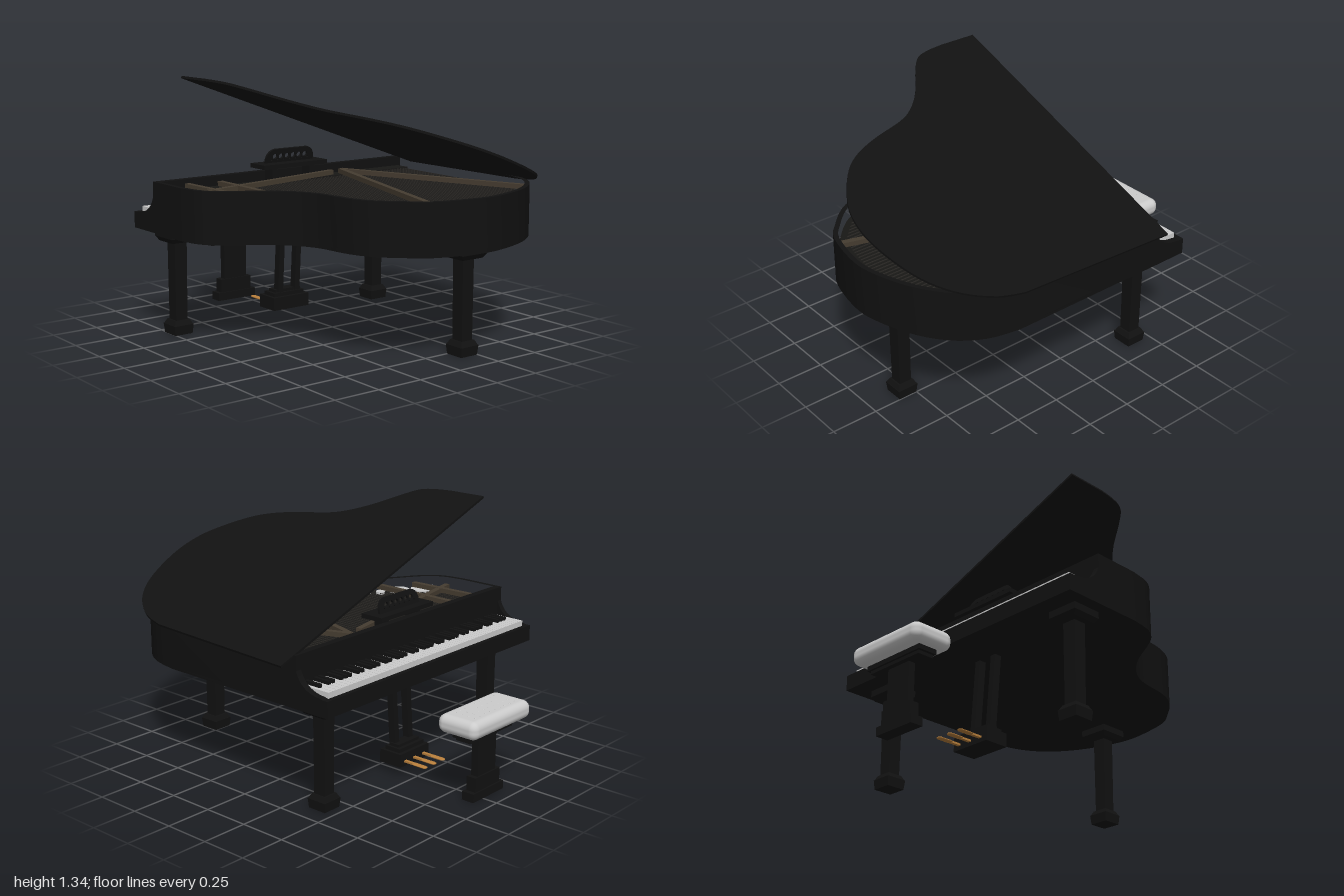
import * as THREE from 'three';
import { toCreasedNormals } from 'three/addons/utils/BufferGeometryUtils.js';
import { RoundedBoxGeometry } from 'three/addons/geometries/RoundedBoxGeometry.js';

const mat = (color) => new THREE.MeshStandardMaterial({ color });
const V = (a) => a.map(([x, y]) => new THREE.Vector2(x, y));

export function createModel() {
  const piano = new THREE.Group();
  piano.name = 'grandPianoWithBench';
  const black = mat(0x111111), plateBlack = mat(0x181715), grey = mat(0xcccccc);
  const gold = mat(0xb87f3c), bronze = mat(0x453c30), steel = mat(0x2a2825);

  const add = (name, geo, material, parent = piano) => {
    const m = new THREE.Mesh(geo, material);
    m.name = name;
    parent.add(m);
    return m;
  };
  // Box given by its min and max on each axis
  const box = (name, x0, x1, y0, y1, z0, z1, material = black, parent = piano) => {
    const m = add(name, new THREE.BoxGeometry(x1 - x0, y1 - y0, z1 - z0), material, parent);
    m.position.set((x0 + x1) / 2, (y0 + y1) / 2, (z0 + z1) / 2);
    return m;
  };
  // Flat bar between two points of the plan (x, z)
  const bar = (name, [xa, za], [xb, zb], y, w, h, material, parent) => {
    const m = add(name, new THREE.BoxGeometry(Math.hypot(xb - xa, zb - za), h, w), material, parent);
    m.position.set((xa + xb) / 2, y, (za + zb) / 2);
    m.rotation.y = -Math.atan2(zb - za, xb - xa);
    return m;
  };
  // Horizontal slab from a plan outline, optionally hollow
  const slab = (pts, h, hole) => {
    const flip = (a) => a.map((p) => new THREE.Vector2(p.x, -p.y));
    const shape = new THREE.Shape(flip(pts));
    if (hole) shape.holes.push(new THREE.Path(flip(hole)));
    const g = new THREE.ExtrudeGeometry(shape, { depth: h, bevelEnabled: false });
    return toCreasedNormals(g.rotateX(-Math.PI / 2), 0.5);
  };
  // Moves a closed outline inwards by d
  const inset = (pts, d) => pts.map((p, i) => {
    const a = pts[(i + pts.length - 1) % pts.length], b = pts[(i + 1) % pts.length];
    const u = p.clone().sub(a).normalize(), v = b.clone().sub(p).normalize();
    const n = new THREE.Vector2(-u.y - v.y, u.x + v.x).normalize();
    return p.clone().addScaledVector(n, d / Math.max(0.5, n.dot(new THREE.Vector2(-u.y, u.x))));
  });

  // Case: curved rim, closed bottom
  const curve = new THREE.SplineCurve(V([[0.5, -0.765], [0.66, -0.73], [0.8, -0.64], [0.91, -0.49],
    [0.98, -0.3], [1, -0.13], [0.95, 0.11], [0.87, 0.22], [0.78, 0.31], [0.7, 0.36], [0.6, 0.39],
    [0.45, 0.41], [0.35, 0.45], [0.27, 0.51], [0.2, 0.59], [0.13, 0.7], [0.08, 0.77], [0.03, 0.81],
    [-0.03, 0.835], [-0.13, 0.85]]));
  const outline = [...V([[-0.37, -0.77]]), ...curve.getPoints(70), ...V([[-0.37, 0.85]])];
  const inner = inset(outline, 0.025);
  add('rim', slab(outline, 0.25, inner), black).position.y = 0.565;
  add('caseBottom', slab(outline, 0.02), black).position.y = 0.55;
  add('plate', slab(inner, 0.03), plateBlack).position.y = 0.72;

  // Strings stop at the rim
  const reach = (z) => {
    let best = -0.2;
    for (let i = 1; i < inner.length; i++) {
      const a = inner[i - 1], b = inner[i];
      if ((a.y - z) * (b.y - z) < 0) best = Math.max(best, a.x + (b.x - a.x) * (z - a.y) / (b.y - a.y));
    }
    return best;
  };
  const strings = new THREE.Group();
  strings.name = 'strings';
  piano.add(strings);
  for (let i = 0; i < 60; i++) {
    const z = -0.7 + i * 0.0245;
    box('string', -0.26, reach(z) - 0.05, 0.758, 0.762, z - 0.002, z + 0.002, steel, strings);
  }
  box('pinBlock', -0.34, -0.25, 0.745, 0.765, -0.73, 0.81, plateBlack);

  // Struts of the iron frame
  [[[-0.29, -0.28], [0.93, 0.09]], [[-0.29, -0.28], [0.72, -0.68]], [[-0.27, -0.2], [-0.08, 0.76]],
    [[-0.3, 0.5], [0.22, 0.5]], [[-0.33, 0.68], [0.08, 0.66]]].forEach(([a, b], i) =>
    bar('frameStrut', a, b, 0.78 + i * 0.001, 0.03, 0.025, bronze));

  // Round openings along the bent side
  [[0.03, 0.67, 0.06], [0.11, 0.575, 0.055], [0.26, 0.42, 0.06], [0.37, 0.36, 0.06], [0.5, 0.33, 0.06],
    [-0.06, 0.675, 0.025], [-0.01, 0.725, 0.022], [0.035, 0.745, 0.022], [0.16, 0.47, 0.025],
    [0.195, 0.53, 0.022], [0.535, 0.26, 0.025], [0.585, 0.3, 0.022], [0.585, 0.35, 0.022]].forEach(([x, z, r]) =>
    add('soundHole', new THREE.CylinderGeometry(r, r, 0.02, 28), grey).position.set(x, 0.757, z));

  // Open lid, hinged along the straight side
  const tilt = THREE.MathUtils.degToRad(20);
  const lidCurve = new THREE.SplineCurve(V([[0.52, -0.82], [0.66, -0.78], [0.8, -0.69], [0.9, -0.57],
    [0.96, -0.43], [0.995, -0.27], [0.99, -0.14], [0.95, -0.03], [0.85, 0.11], [0.75, 0.19], [0.6, 0.25],
    [0.4, 0.3], [0.3, 0.35], [0.2, 0.44], [0.1, 0.57], [0.03, 0.645], [-0.05, 0.67], [-0.15, 0.68]]));
  const lidPts = [...V([[-0.37, -0.855]]), ...lidCurve.getPoints(70), ...V([[-0.37, 0.68]])];
  lidPts.forEach((p) => { p.y = (p.y + 0.855) / Math.cos(tilt); });
  const lid = add('lid', slab(lidPts, 0.012), black);
  lid.position.set(0, 0.772, -0.853);
  lid.rotation.x = -tilt;

  // Key bed, fallboard and scooped cheeks
  box('keyBed', -0.58, -0.37, 0.55, 0.625, -0.77, 0.85);
  box('keySlip', -0.58, -0.555, 0.62, 0.635, -0.77, 0.85);
  box('fallboard', -0.383, -0.365, 0.62, 0.815, -0.77, 0.85);
  const cheek = new THREE.Shape();
  cheek.moveTo(-0.58, 0.6).lineTo(-0.365, 0.6).lineTo(-0.365, 0.815).lineTo(-0.378, 0.815)
    .lineTo(-0.38, 0.75).bezierCurveTo(-0.4, 0.68, -0.45, 0.645, -0.53, 0.64).lineTo(-0.58, 0.63);
  for (const z of [-0.77, 0.82]) {
    const g = new THREE.ExtrudeGeometry(cheek, { depth: z < 0 ? 0.035 : 0.03, bevelEnabled: false, curveSegments: 16 });
    add('cheek', toCreasedNormals(g, 0.5), black).position.z = z;
  }

  // 52 white and 36 black keys, lowest note at -z
  const keys = new THREE.Group();
  keys.name = 'keyboard';
  piano.add(keys);
  const step = 1.55 / 52;
  for (let i = 0; i < 52; i++) {
    const z = -0.732 + i * step;
    box('whiteKey', -0.552, -0.38, 0.63, 0.663, z + 0.001, z + step - 0.001, grey, keys);
    // note letters run A B C D E F G
    if (i < 51 && ![1, 4].includes(i % 7))
      box('blackKey', -0.478, -0.38, 0.655, 0.68, z + step - 0.009, z + step + 0.009, black, keys);
  }

  // Music desk: shelf on two posts and a pierced, leaning panel
  const desk = new THREE.Group();
  desk.name = 'musicDesk';
  piano.add(desk);
  box('deskShelf', -0.38, -0.25, 0.835, 0.858, -0.155, 0.255, black, desk);
  for (const z of [-0.075, 0.17]) box('deskPost', -0.35, -0.28, 0.75, 0.84, z - 0.015, z + 0.015, black, desk);
  const panel = new THREE.Shape();
  panel.moveTo(-0.155, 0).lineTo(0.155, 0).lineTo(0.155, 0.025).quadraticCurveTo(0.145, 0.075, 0.1, 0.078)
    .lineTo(-0.1, 0.078).quadraticCurveTo(-0.145, 0.075, -0.155, 0.025);
  const pierce = (x, y, r) => panel.holes.push(new THREE.Path().absarc(x, y, r, 0, Math.PI * 2, true));
  for (let i = 0; i < 6; i++) pierce((i - 2.5) * 0.039, 0.037, 0.015);
  for (let i = 0; i < 7; i++) pierce((i - 3) * 0.039, 0.019, 0.005);
  const deskPanel = add('deskPanel', new THREE.ExtrudeGeometry(panel, { depth: 0.012, bevelEnabled: false }), black, desk);
  deskPanel.rotation.set(0, -Math.PI / 2, 0.25, 'ZYX');
  deskPanel.rotation.z = -0.25;
  deskPanel.position.set(-0.32, 0.855, 0.047);

  // Square tapered block: bottom and top half widths
  const block = (name, x, z, y0, y1, r0, r1, parent) => {
    const g = new THREE.CylinderGeometry(r1 * Math.SQRT2, r0 * Math.SQRT2, y1 - y0, 4, 1).rotateY(Math.PI / 4);
    add(name, toCreasedNormals(g, 0.5), black, parent).position.set(x, (y0 + y1) / 2, z);
  };
  // Legs
  for (const [x, z] of [[-0.4, 0.705], [-0.4, -0.6], [0.8, -0.195]]) {
    const leg = new THREE.Group();
    leg.name = 'leg';
    piano.add(leg);
    block('legCap', x, z, 0.515, 0.555, 0.082, 0.082, leg);
    block('legCapTaper', x, z, 0.49, 0.515, 0.066, 0.082, leg);
    block('legColumn', x, z, 0.06, 0.5, 0.034, 0.036, leg);
    block('legFoot', x, z, 0, 0.05, 0.052, 0.057, leg);
    block('legFootTop', x, z, 0.05, 0.075, 0.055, 0.042, leg);
  }

  // Pedal lyre
  const lyre = new THREE.Group();
  lyre.name = 'pedalLyre';
  piano.add(lyre);
  for (const z of [-0.01, 0.1]) {
    const rod = box('lyreRod', -0.358, -0.318, 0.12, 0.56, z - 0.016, z + 0.016, black, lyre);
    rod.rotation.z = -0.07;
  }
  box('pedalBox', -0.44, -0.305, 0.05, 0.12, -0.068, 0.162, black, lyre);
  box('pedalBoxTop', -0.42, -0.325, 0.12, 0.14, -0.05, 0.145, black, lyre);
  box('pedalBoxCrown', -0.4, -0.34, 0.14, 0.155, -0.035, 0.13, black, lyre);
  for (const z of [-0.028, 0.045, 0.118]) {
    box('pedalArm', -0.52, -0.43, 0.071, 0.081, z - 0.009, z + 0.009, gold, lyre);
    const tip = add('pedalTip', new THREE.CapsuleGeometry(0.016, 0.06, 6, 14).rotateZ(Math.PI / 2), gold, lyre);
    tip.scale.y = 0.4;
    tip.position.set(-0.536, 0.076, z);
  }

  // Bench with padded seat
  const bench = new THREE.Group();
  bench.name = 'bench';
  piano.add(bench);
  add('benchCushion', new RoundedBoxGeometry(0.235, 0.095, 0.475, 5, 0.04), grey, bench).position.set(-0.8825, 0.417, 0.04);
  for (let i = 0; i < 4; i++) for (let j = 0; j < 9; j++) {
    const button = add('cushionButton', new THREE.SphereGeometry(0.005, 8, 6), grey, bench);
    button.scale.y = 0.3;
    button.position.set(-0.9425 + i * 0.04, 0.4645, -0.12 + j * 0.04);
  }
  box('benchFrame', -0.935, -0.828, 0.345, 0.375, -0.145, 0.23, black, bench);
  box('benchFrameLower', -0.925, -0.838, 0.328, 0.345, -0.13, 0.215, black, bench);
  box('benchPost', -0.9, -0.862, 0.04, 0.34, -0.03, 0.118, black, bench);
  box('benchPostBase', -0.908, -0.854, 0.045, 0.12, -0.055, 0.145, black, bench);
  box('benchFoot', -0.916, -0.846, 0, 0.045, -0.08, 0.168, black, bench);

  return piano;
}
